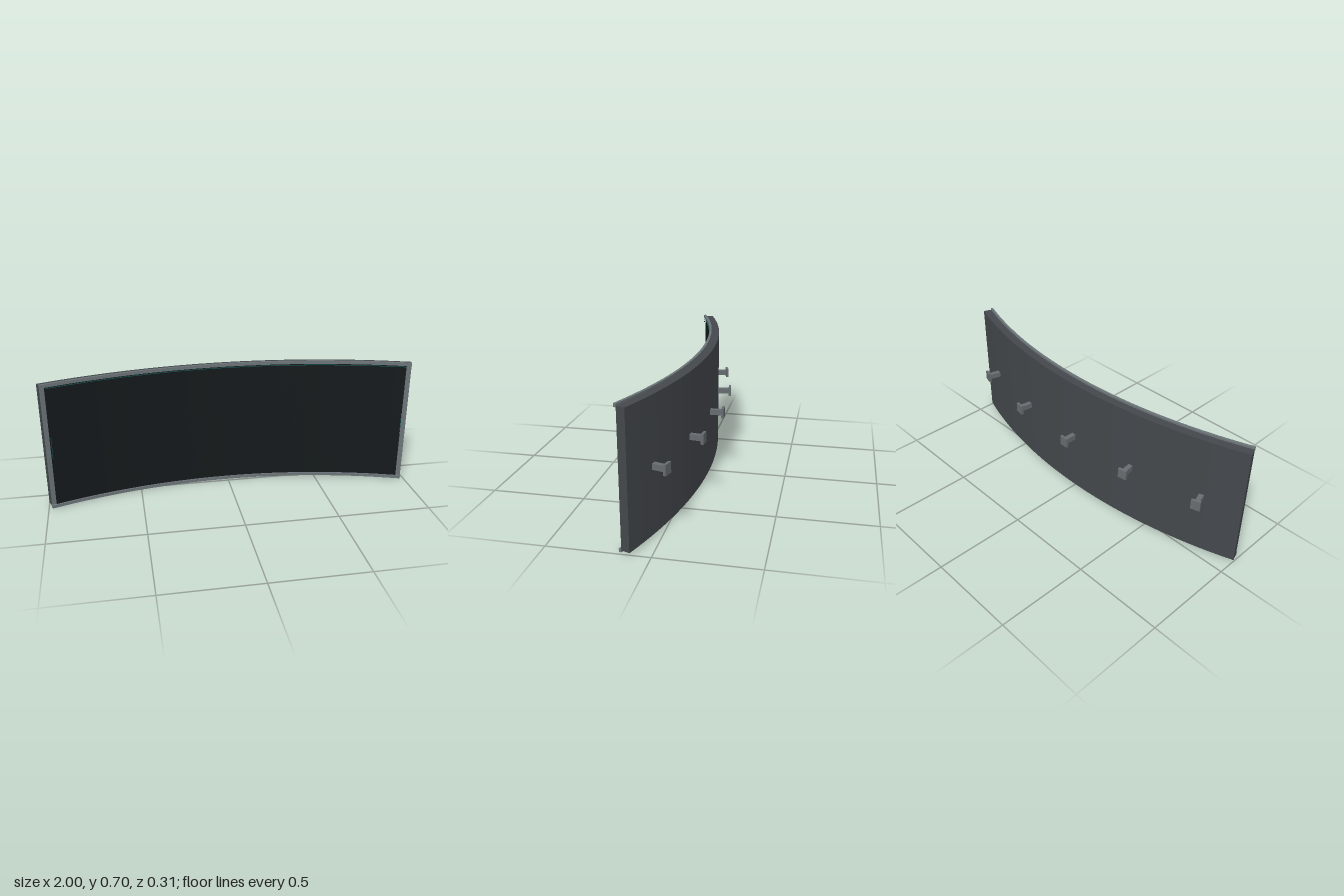
import * as THREE from 'three';

const CZ = 2.865;      // z of the axis the whole display curves around
const END = 0.347;     // half angle of the housing
const BACK = 2.94, FACE = 2.895, H = 0.70;

const mat = (color) => new THREE.MeshStandardMaterial({ color });

// Curved slab between two radii, two angles (0 = middle, + = +x) and two heights
function arcSlab(name, r0, r1, a0, a1, y0, y1, material, segments = 48) {
  const shape = new THREE.Shape();
  const s = Math.PI / 2 - a1, e = Math.PI / 2 - a0;
  shape.absarc(0, -CZ, r1, s, e, false);
  shape.absarc(0, -CZ, r0, e, s, true);
  const geo = new THREE.ExtrudeGeometry(shape, {
    depth: y1 - y0, bevelEnabled: false, curveSegments: segments,
  });
  geo.rotateX(-Math.PI / 2).translate(0, y0, 0);
  const mesh = new THREE.Mesh(geo, material);
  mesh.name = name;
  return mesh;
}

// Box lying along the radius at a given angle
function radialBox(name, r0, r1, angle, y, width, height, material) {
  const mesh = new THREE.Mesh(new THREE.BoxGeometry(width, height, r1 - r0), material);
  const r = (r0 + r1) / 2;
  mesh.position.set(r * Math.sin(angle), y, CZ - r * Math.cos(angle));
  mesh.rotation.y = -angle;
  mesh.name = name;
  return mesh;
}

export function createModel() {
  const model = new THREE.Group();
  model.name = 'curvedDisplay';
  const housingMat = mat(0x44484c), trimMat = mat(0x6c7478), screenMat = mat(0x14191b);
  const mountMat = mat(0x666c70), glowMat = mat(0x0f5f5f), dotMat = mat(0x1a1c1e);

  // Housing and recessed screen
  model.add(arcSlab('housing', FACE, BACK, -END, END, 0.01, 0.69, housingMat));
  model.add(arcSlab('screen', 2.889, FACE, -0.338, 0.338, 0.015, 0.685, screenMat));

  // Top and bottom rails standing proud of the face
  model.add(arcSlab('bottomRail', 2.881, FACE, -END, END, 0, 0.017, trimMat));
  model.add(arcSlab('topRail', 2.881, FACE, -END, END, 0.683, H, trimMat));

  // Thin accent line below the top rail
  model.add(arcSlab('topAccent', 2.878, 2.881, -0.337, 0.337, 0.677, 0.679, glowMat));

  for (const side of [-1, 1]) {
    const label = side > 0 ? 'left' : 'right';
    // Side trim flush with the face
    model.add(radialBox(label + 'Trim', 2.8945, 2.905, side * 0.3425, 0.35, 0.025, 0.678, trimMat));
    // Side accent line and indicator dots
    model.add(radialBox(label + 'Accent', 2.876, 2.878, side * 0.337, 0.35, 0.002, 0.12, glowMat));
    for (const y of [0.04, 0.35, 0.66]) {
      model.add(radialBox(label + 'Dot', 2.878, 2.882, side * 0.337, y, 0.004, 0.005, dotMat));
    }
  }

  // Five wall mounts: a post with an end plate
  for (const angle of [-0.276, -0.137, 0, 0.137, 0.276]) {
    const mount = new THREE.Group();
    mount.name = 'wallMount';
    mount.add(radialBox('post', 2.93, 3.005, angle, 0.353, 0.026, 0.03, mountMat));
    mount.add(radialBox('plate', 3.004, 3.018, angle, 0.353, 0.05, 0.055, mountMat));
    model.add(mount);
  }
  return model;
}
